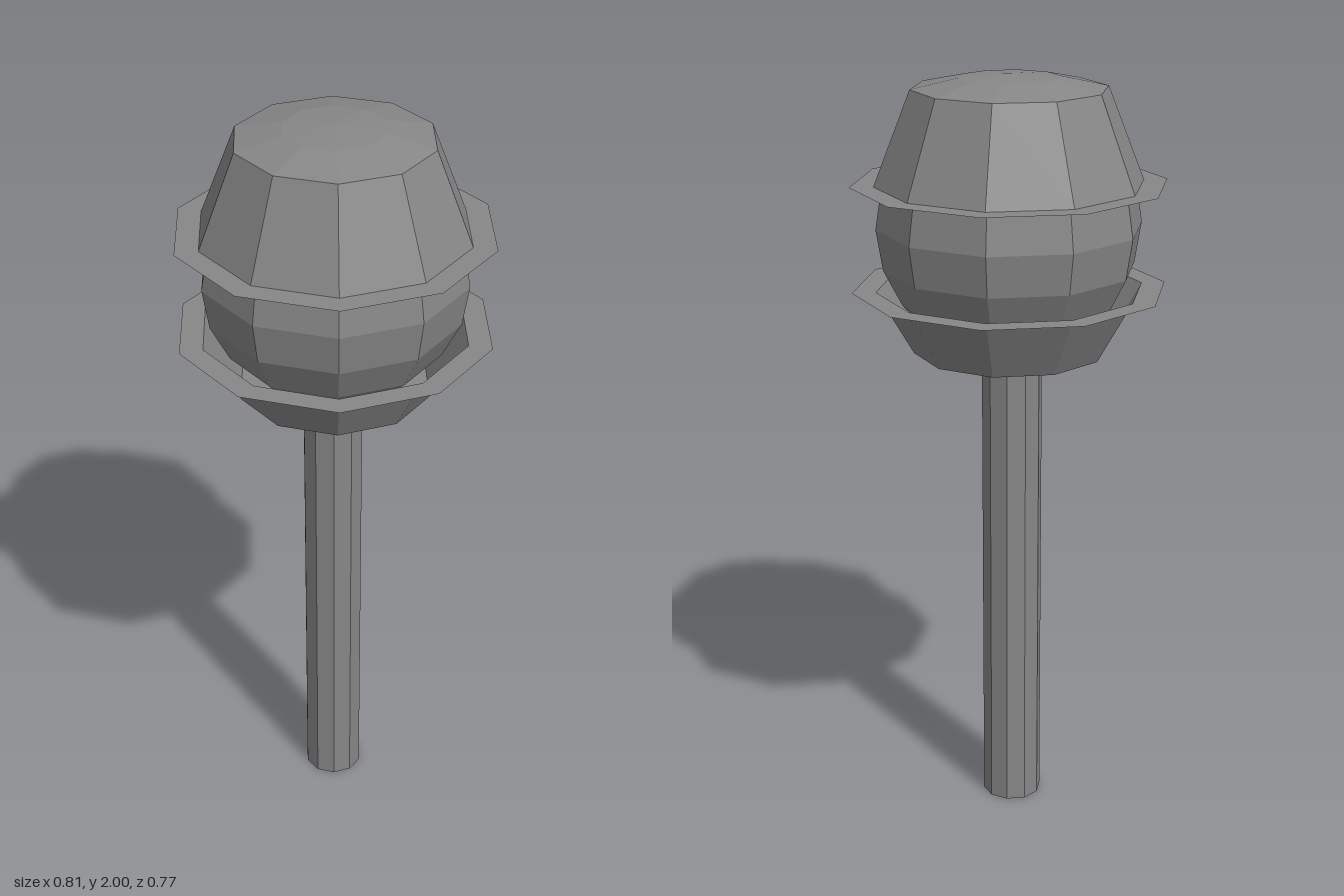
import * as THREE from 'three';

const SIDES = 10;

export function createModel() {
  const model = new THREE.Group();
  const solid = new THREE.MeshStandardMaterial({ color: 0x878787, flatShading: true });
  const thin = new THREE.MeshStandardMaterial({ color: 0x878787, flatShading: true, side: THREE.DoubleSide });

  function add(name, geometry, material) {
    const mesh = new THREE.Mesh(geometry, material);
    mesh.name = name;
    model.add(mesh);
    return mesh;
  }

  // Ten-sided turned part from a [radius, height] profile, bottom to top
  function turned(name, profile, material) {
    const points = profile.map(([r, y]) => new THREE.Vector2(r, y));
    return add(name, new THREE.LatheGeometry(points, SIDES, Math.PI / 2), material);
  }

  // Handle, set very slightly off centre
  const handle = turned('handle', [[0, 0], [0.079, 0], [0.079, 1.287]], solid);
  handle.position.set(-0.004, 0, 0.004);

  // Faceted ball showing between the two cups
  const ball = add('ball', new THREE.SphereGeometry(0.342, SIDES, 10), solid);
  ball.position.y = 1.617;

  // Open lower cup and domed upper cup
  turned('lowerCup', [[0, 1.29], [0.25, 1.29], [0.345, 1.455]], thin);
  turned('upperCup', [[0.345, 1.726], [0.25, 1.965], [0.13, 1.991], [0, 2]], thin);

  // Flat collars around the cup rims
  for (const [name, y] of [['lowerCollar', 1.455], ['upperCollar', 1.726]]) {
    const collar = add(name, new THREE.RingGeometry(0.345, 0.406, SIDES).rotateX(-Math.PI / 2), thin);
    collar.position.y = y;
  }

  return model;
}
